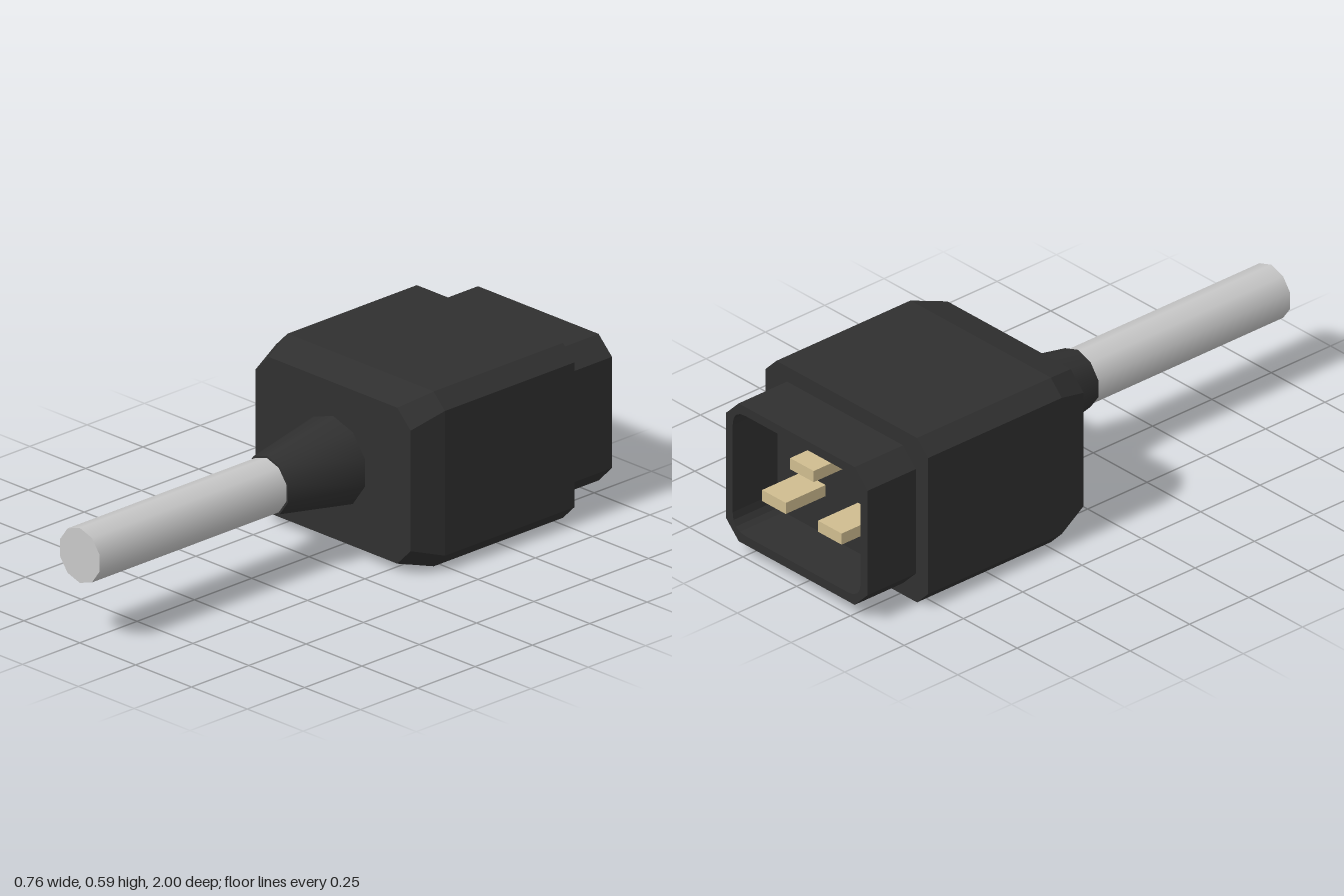
import * as THREE from 'three';

const MID_Y = 0.296;

const rubber = new THREE.MeshStandardMaterial({ color: 0x303030 });
rubber.name = 'black rubber';
const sleeve = new THREE.MeshStandardMaterial({ color: 0xc8c8c8 });
sleeve.name = 'light grey cable';
const brass = new THREE.MeshStandardMaterial({ color: 0xcfbc8f });
brass.name = 'pale brass';

// Corners of a rectangle with cut corners, counter-clockwise
function octagon(w, h, c) {
  return [[w - c, -h], [w, -h + c], [w, h - c], [w - c, h],
    [-w + c, h], [-w, h - c], [-w, -h + c], [-w + c, -h]];
}

// Flat-faced solid through octagonal rings ordered from low z to high z
function loft(rings) {
  const pos = [];
  const loops = rings.map(([w, h, c, z]) => octagon(w, h, c).map(([x, y]) => [x, y, z]));
  for (let r = 0; r < loops.length - 1; r++) {
    for (let i = 0; i < 8; i++) {
      const j = (i + 1) % 8;
      const a = loops[r][i], b = loops[r][j], c = loops[r + 1][j], d = loops[r + 1][i];
      pos.push(...a, ...b, ...c, ...a, ...c, ...d);
    }
  }
  const back = loops[0], front = loops[loops.length - 1];
  for (let i = 1; i < 7; i++) {
    pos.push(...back[0], ...back[i + 1], ...back[i]);
    pos.push(...front[0], ...front[i], ...front[i + 1]);
  }
  const g = new THREE.BufferGeometry();
  g.setAttribute('position', new THREE.Float32BufferAttribute(pos, 3));
  g.computeVertexNormals();
  return g;
}

// Rounded rectangle path for the socket opening
function roundedRect(w, h, r) {
  const p = new THREE.Path();
  p.moveTo(-w + r, -h);
  p.lineTo(w - r, -h);
  p.quadraticCurveTo(w, -h, w, -h + r);
  p.lineTo(w, h - r);
  p.quadraticCurveTo(w, h, w - r, h);
  p.lineTo(-w + r, h);
  p.quadraticCurveTo(-w, h, -w, h - r);
  p.lineTo(-w, -h + r);
  p.quadraticCurveTo(-w, -h, -w + r, -h);
  return p;
}

// Ten-sided round part running along z
function rod(rBack, rFront, z0, z1) {
  return new THREE.CylinderGeometry(rFront, rBack, z1 - z0, 10)
    .rotateX(Math.PI / 2).translate(0, 0, (z0 + z1) / 2);
}

export function createModel() {
  const group = new THREE.Group();
  group.name = 'powerConnector';

  const add = (name, geometry, material, x = 0, y = MID_Y, z = 0) => {
    const mesh = new THREE.Mesh(geometry, material);
    mesh.name = name;
    mesh.position.set(x, y, z);
    group.add(mesh);
  };

  // Main housing with a tapered front
  add('housing', loft([
    [0.378, 0.296, 0.051, -0.789],
    [0.378, 0.296, 0.051, -0.225],
    [0.347, 0.264, 0.06, -0.105],
  ]), rubber);

  // Hollow collar around the pins
  const shape = new THREE.Shape(octagon(0.33, 0.248, 0.06).map(([x, y]) => new THREE.Vector2(x, y)));
  shape.holes.push(roundedRect(0.298, 0.216, 0.06));
  add('collar', new THREE.ExtrudeGeometry(shape, { depth: 0.19, bevelEnabled: false, curveSegments: 4 }),
    rubber, 0, MID_Y, -1);
  add('collarFloor', loft([[0.33, 0.248, 0.06, -0.81], [0.33, 0.248, 0.06, -0.796]]), rubber);

  // Three flat contact pins
  for (const [name, x, y] of [['topPin', 0, 0.41], ['leftPin', 0.13, 0.24], ['rightPin', -0.13, 0.24]]) {
    add(name, new THREE.BoxGeometry(0.11, 0.04, 0.17), brass, x, y, -0.893);
  }

  // Strain relief and cable
  add('strainRelief', rod(0.151, 0.1, -0.11, 0.185), rubber);
  add('cable', rod(0.093, 0.093, 0.17, 1), sleeve);

  return group;
}
